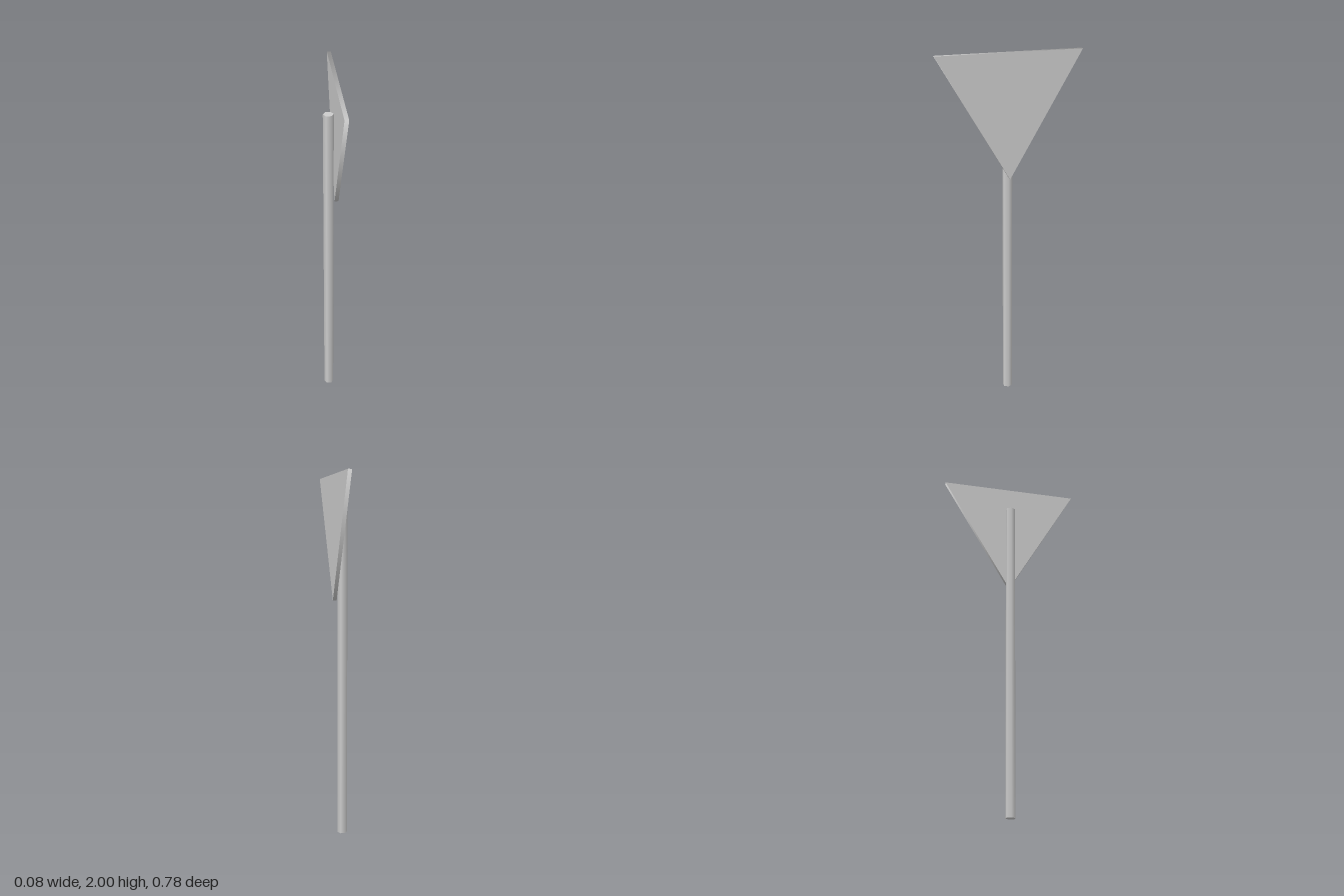
import * as THREE from 'three';

export function createModel() {
  const group = new THREE.Group();
  const material = new THREE.MeshStandardMaterial({ color: 0xcccccc });

  // Prism with smooth-shaded sides and a corner pointing along +x
  const addPrism = (name, radius, length, sides) => {
    const geometry = new THREE.CylinderGeometry(radius, radius, length, sides, 1, false, Math.PI / 2);
    const mesh = new THREE.Mesh(geometry, material);
    mesh.name = name;
    group.add(mesh);
    return mesh;
  };

  // Hexagonal post
  const post = addPrism('post', 0.0275, 1.838, 6);
  post.position.set(-0.0135, 0.919, 0);

  // Triangular plate facing +x, point down
  const sign = addPrism('signPlate', 0.45, 0.021, 3);
  sign.rotation.z = -Math.PI / 2;
  sign.position.set(0.0295, 1.775, 0);

  return group;
}
